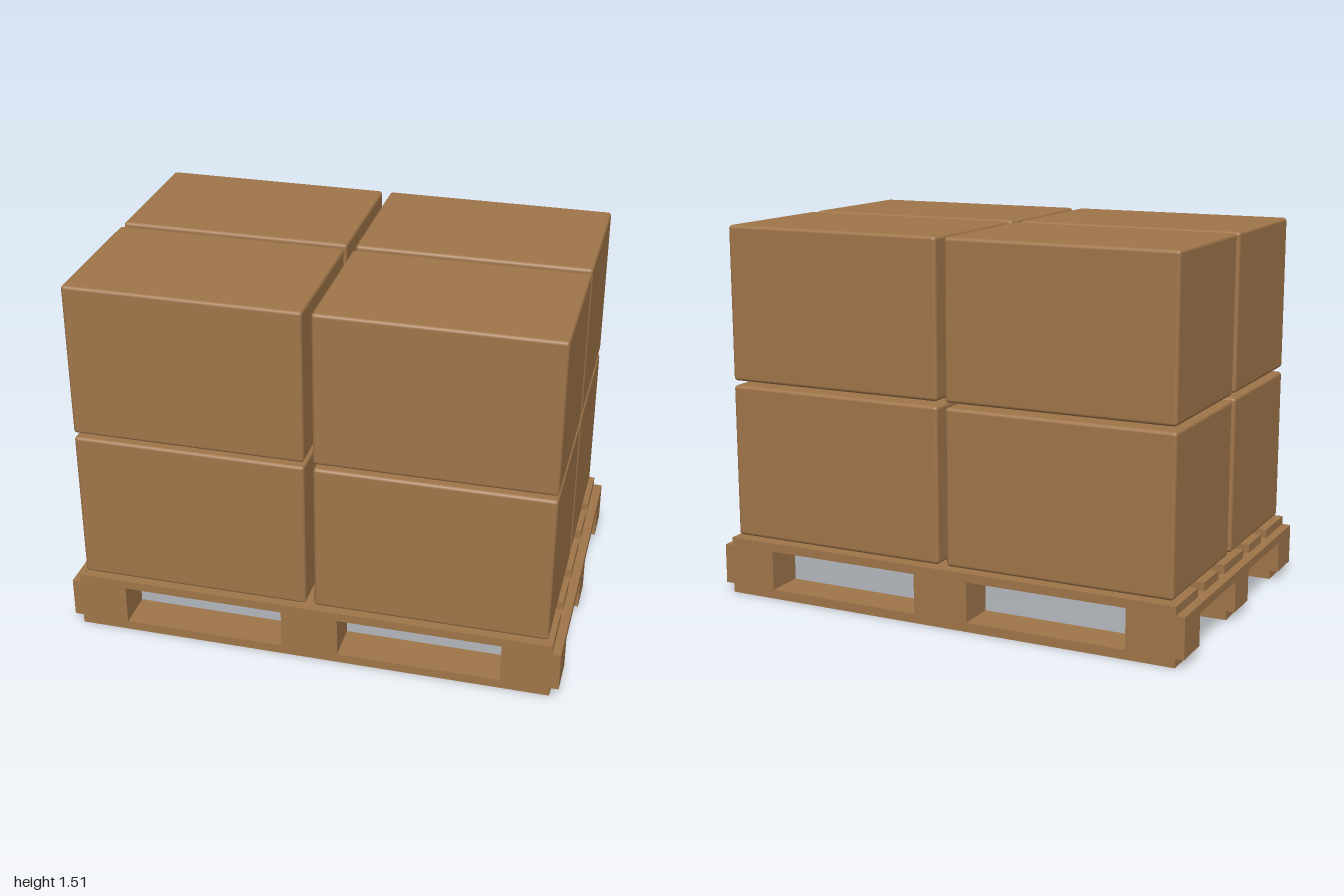
import * as THREE from 'three';
import { RoundedBoxGeometry } from 'three/addons/geometries/RoundedBoxGeometry.js';

export function createModel() {
  const model = new THREE.Group();
  model.name = 'loadedPallet';
  const brown = new THREE.MeshStandardMaterial({ color: 0xa0754a });
  brown.name = 'cardboardBrown';

  const pallet = new THREE.Group();
  pallet.name = 'pallet';
  const cartons = new THREE.Group();
  cartons.name = 'cartons';
  model.add(pallet, cartons);

  // Box given by its centre in x and z, its bottom y and its size
  function plank(name, x, y, z, w, h, d) {
    const mesh = new THREE.Mesh(new THREE.BoxGeometry(w, h, d), brown);
    mesh.name = name;
    mesh.position.set(x, y + h / 2, z);
    pallet.add(mesh);
  }

  const columns = [-0.885, 0, 0.885];
  const rows = [-0.565, 0, 0.565];

  // Bottom runners, along x
  for (const z of rows) plank('bottomBoard', 0, 0, z, 1.93, 0.037, 0.16);

  // Nine spacer blocks with a cross board over each column
  for (const x of columns) {
    for (const z of rows) plank('spacerBlock', x, 0.037, z, 0.23, 0.127, 0.16);
    plank('crossBoard', x, 0.164, 0, 0.23, 0.035, 1.29);
  }

  // Deck boards: wide at the edges and centre, narrow between
  for (const [z, depth] of [[-0.53, 0.23], [-0.266, 0.16], [0, 0.23], [0.266, 0.16], [0.53, 0.23]]) {
    plank('deckBoard', 0, 0.199, z, 1.93, 0.035, depth);
  }

  // Two layers of four cartons with softened edges
  const carton = new RoundedBoxGeometry(0.928, 0.624, 0.608, 3, 0.014);
  for (const y of [0.555, 1.198]) {
    for (const x of [-0.481, 0.481]) {
      for (const z of [-0.321, 0.321]) {
        const mesh = new THREE.Mesh(carton, brown);
        mesh.name = 'carton';
        mesh.position.set(x, y, z);
        cartons.add(mesh);
      }
    }
  }
  return model;
}
